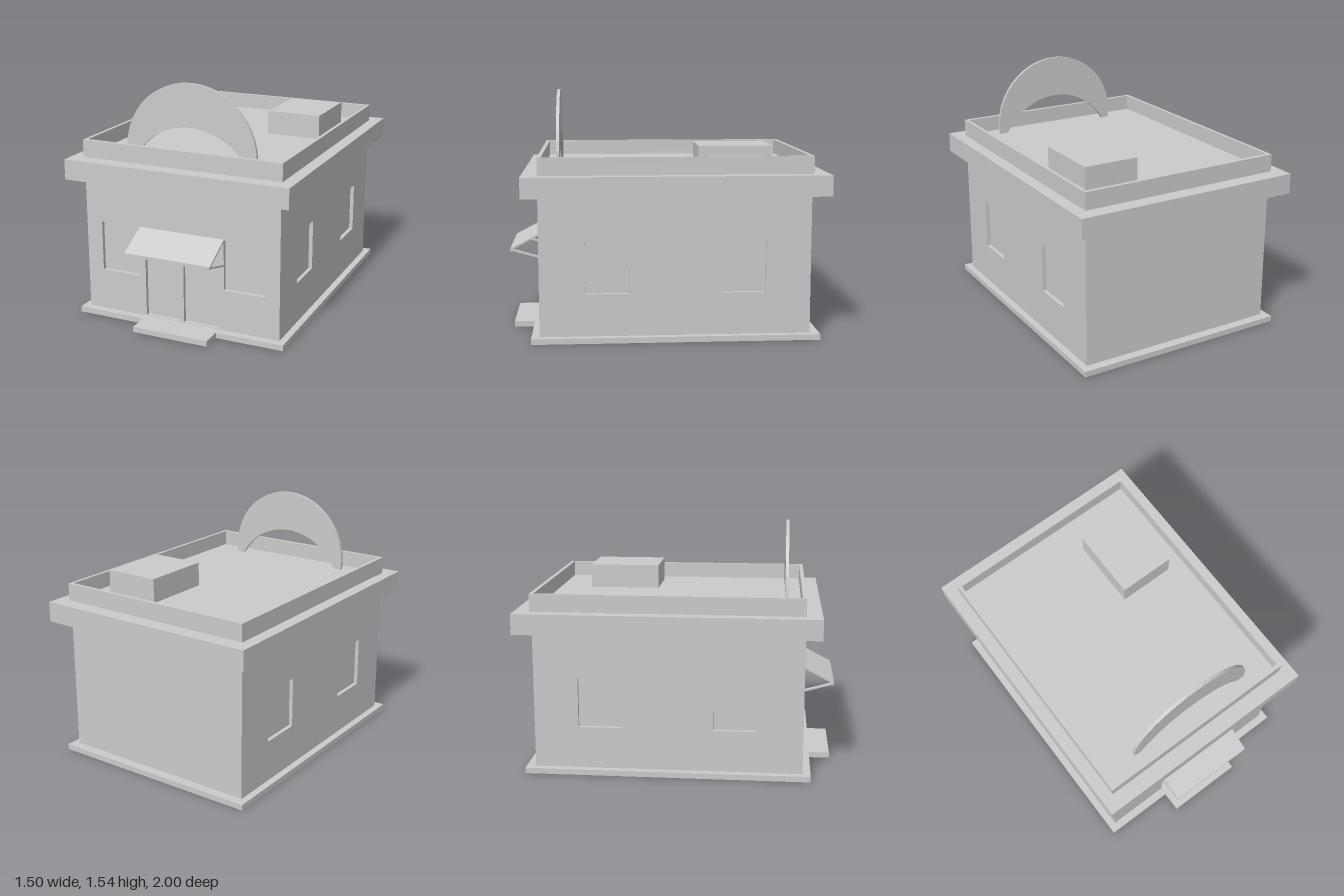
import * as THREE from 'three';

const material = new THREE.MeshStandardMaterial({ color: 0xcccccc, flatShading: true });

function rectPoints(x0, y0, x1, y1) {
  return [[x0, y0], [x1, y0], [x1, y1], [x0, y1]].map(([x, y]) => new THREE.Vector2(x, y));
}

// Rectangle with rectangular openings, each given as [x0, y0, x1, y1]
function panel(rect, openings = []) {
  const shape = new THREE.Shape(rectPoints(...rect));
  for (const o of openings) shape.holes.push(new THREE.Path(rectPoints(...o)));
  return shape;
}

function polygon(points) {
  return new THREE.Shape(points.map(([a, b]) => new THREE.Vector2(a, b)));
}

const extrude = (shape, depth) =>
  new THREE.ExtrudeGeometry(shape, { depth, bevelEnabled: false, curveSegments: 12 });

export function createModel() {
  const model = new THREE.Group();
  model.name = 'shop';

  function add(name, geometry, x = 0, y = 0, z = 0) {
    const mesh = new THREE.Mesh(geometry, material);
    mesh.name = name;
    mesh.position.set(x, y, z);
    model.add(mesh);
    return mesh;
  }

  function block(name, x0, x1, y0, y1, z0, z1) {
    return add(name, new THREE.BoxGeometry(x1 - x0, y1 - y0, z1 - z0),
      (x0 + x1) / 2, (y0 + y1) / 2, (z0 + z1) / 2);
  }

  // Plan drawn in (x, -z), raised from y0 by height
  const plan = (name, shape, y0, height) =>
    add(name, extrude(shape, height).rotateX(-Math.PI / 2), 0, y0, 0);

  // Profile drawn in (z, y), running from xMax towards -x
  const profile = (name, shape, xMax, width) =>
    add(name, extrude(shape, width).rotateY(-Math.PI / 2), xMax, 0, 0);

  // Ground slab with the entrance step
  plan('groundSlab', polygon([
    [-0.708, -0.85], [-0.245, -0.85], [-0.245, -0.983], [0.263, -0.983],
    [0.263, -0.85], [0.706, -0.85], [0.706, 0.95], [-0.708, 0.95],
  ]), 0, 0.036);

  // Walls: a solid core with an outer skin, so windows and doors are recessed
  const W = 0.663, front = 0.8, back = -0.89, base = 0.036, top = 0.91, recess = 0.025;
  block('core', -W + recess, W - recess, base, top, back, front - recess);

  const sill = 0.303, head = 0.627;
  const frontWall = panel([-W, base, W, top], [
    [-0.555, sill, -0.28, head],
    [0.295, sill, 0.57, head],
    [-0.247, 0.041, -0.004, 0.485],
    [0.019, 0.041, 0.261, 0.485],
  ]);
  add('frontWall', extrude(frontWall, recess), 0, 0, front - recess);

  const sideWall = panel([back, base, front - recess, top], [
    [-0.61, sill, -0.333, head],
    [0.24, sill, 0.515, head],
  ]);
  profile('rightWall', sideWall, -W + recess, recess);
  profile('leftWall', sideWall, W, recess);

  // Cornice, roof deck and parapet
  block('cornice', -0.75, 0.75, 0.91, 1.04, -1, 0.9);
  block('roofDeck', -0.65, 0.65, 1.04, 1.05, -0.875, 0.775);
  plan('parapet', panel([-0.672, -0.8, 0.67, 0.9], [[-0.65, -0.775, 0.648, 0.875]]), 1.04, 0.112);

  // Rooftop unit
  block('rooftopUnit', 0.17, 0.535, 1.05, 1.207, -0.66, -0.195);

  // Crescent sign: two equal circles, one lowered, cut off at the deck
  const r = 0.44, cx = 0.022, outerY = 1.105, innerY = 0.832, deck = 1.05;
  const a = Math.asin((deck - outerY) / r);
  const b = Math.asin((deck - innerY) / r);
  const crescent = new THREE.Shape();
  crescent.absarc(cx, outerY, r, a, Math.PI - a, false);
  crescent.absarc(cx, innerY, r, Math.PI - b, b, true);
  add('crescentSign', extrude(crescent, 0.02), 0, 0, 0.67);

  // Awning with a small front lip
  profile('awning', polygon([
    [0.8, 0.62], [0.99, 0.52], [0.99, 0.507], [1, 0.507], [1, 0.527], [0.8, 0.632],
  ]), 0.296, 0.576);

  // Awning struts
  const strut = polygon([[0.8, 0.458], [0.99, 0.512], [0.99, 0.523], [0.8, 0.469]]);
  for (const xMax of [0.296, -0.253]) profile('awningStrut', strut, xMax, 0.027);

  return model;
}
